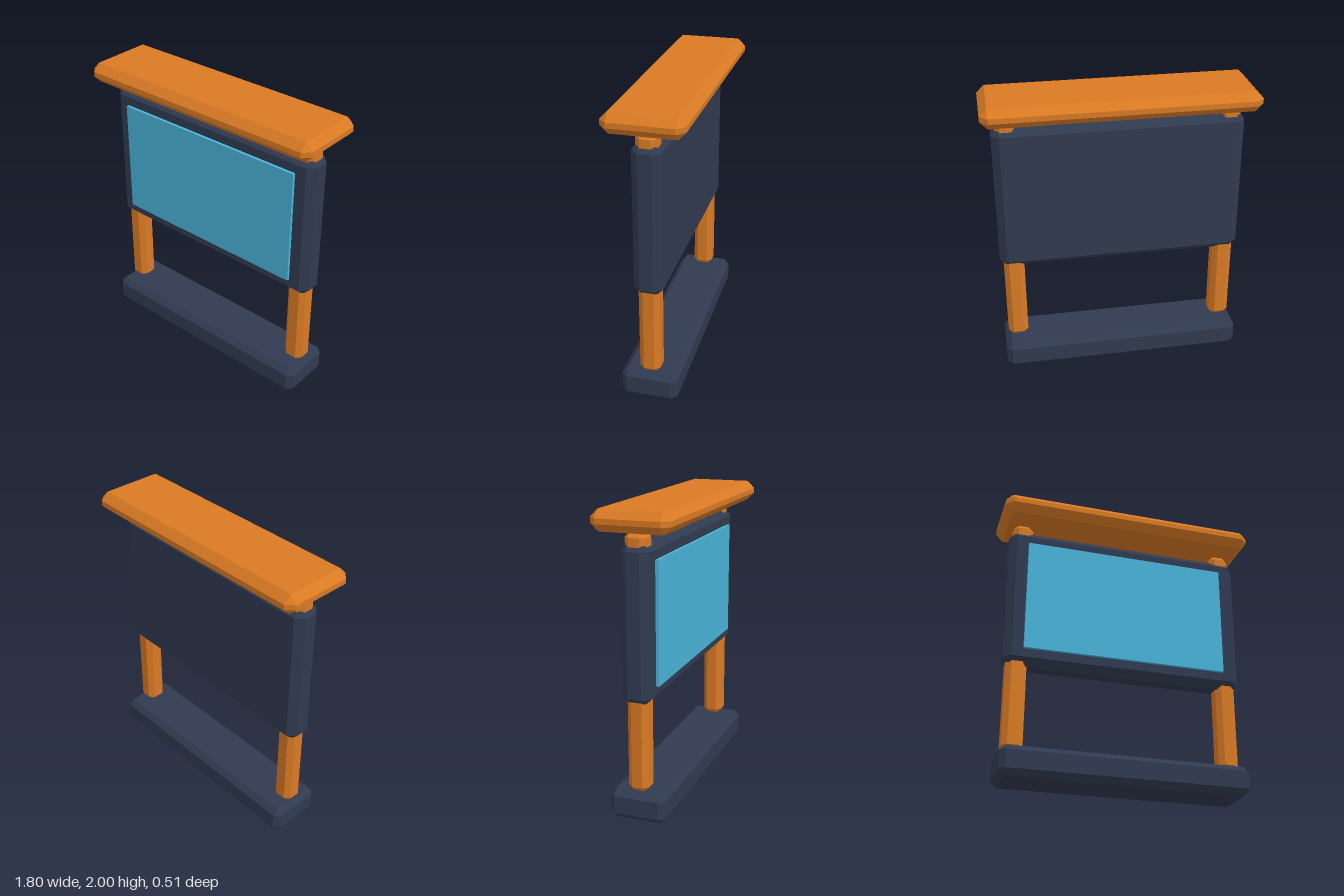
import * as THREE from 'three';
import { ConvexGeometry } from 'three/addons/geometries/ConvexGeometry.js';

const flat = (name, color) => {
  const material = new THREE.MeshStandardMaterial({ color });
  material.name = name;
  return material;
};

// Box with every edge and corner cut flat by c
function chamferBox(w, h, d, c) {
  const points = [];
  for (const sx of [-1, 1]) for (const sy of [-1, 1]) for (const sz of [-1, 1]) {
    const x = w / 2, y = h / 2, z = d / 2;
    points.push(
      new THREE.Vector3(sx * x, sy * (y - c), sz * (z - c)),
      new THREE.Vector3(sx * (x - c), sy * y, sz * (z - c)),
      new THREE.Vector3(sx * (x - c), sy * (y - c), sz * z)
    );
  }
  return new ConvexGeometry(points);
}

export function createModel() {
  const orange = flat('orange', 0xd97a24);
  const navy = flat('navy', 0x303a50);
  const blue = flat('screen blue', 0x4ab3d9);

  const model = new THREE.Group();
  model.name = 'noticeBoard';
  const add = (name, geometry, material, x, y, z) => {
    const mesh = new THREE.Mesh(geometry, material);
    mesh.name = name;
    mesh.position.set(x, y, z);
    model.add(mesh);
  };

  // Foot plinth
  add('base', chamferBox(1.67, 0.195, 0.38, 0.038), navy, 0, 0.0975, 0);

  // Two posts running from base to roof
  for (const [name, side] of [['leftPost', 1], ['rightPost', -1]]) {
    add(name, chamferBox(0.14, 1.67, 0.14, 0.034), orange, side * 0.74, 1.03, 0);
  }

  // Display panel with a raised screen on the front
  add('panel', chamferBox(1.67, 1.02, 0.19, 0.05), navy, 0, 1.29, 0);
  add('screen', new THREE.BoxGeometry(1.415, 0.8, 0.03), blue, 0, 1.29, 0.1);

  // Roof slab
  add('roof', chamferBox(1.8, 0.135, 0.515, 0.05), orange, 0, 1.9325, 0);

  return model;
}
